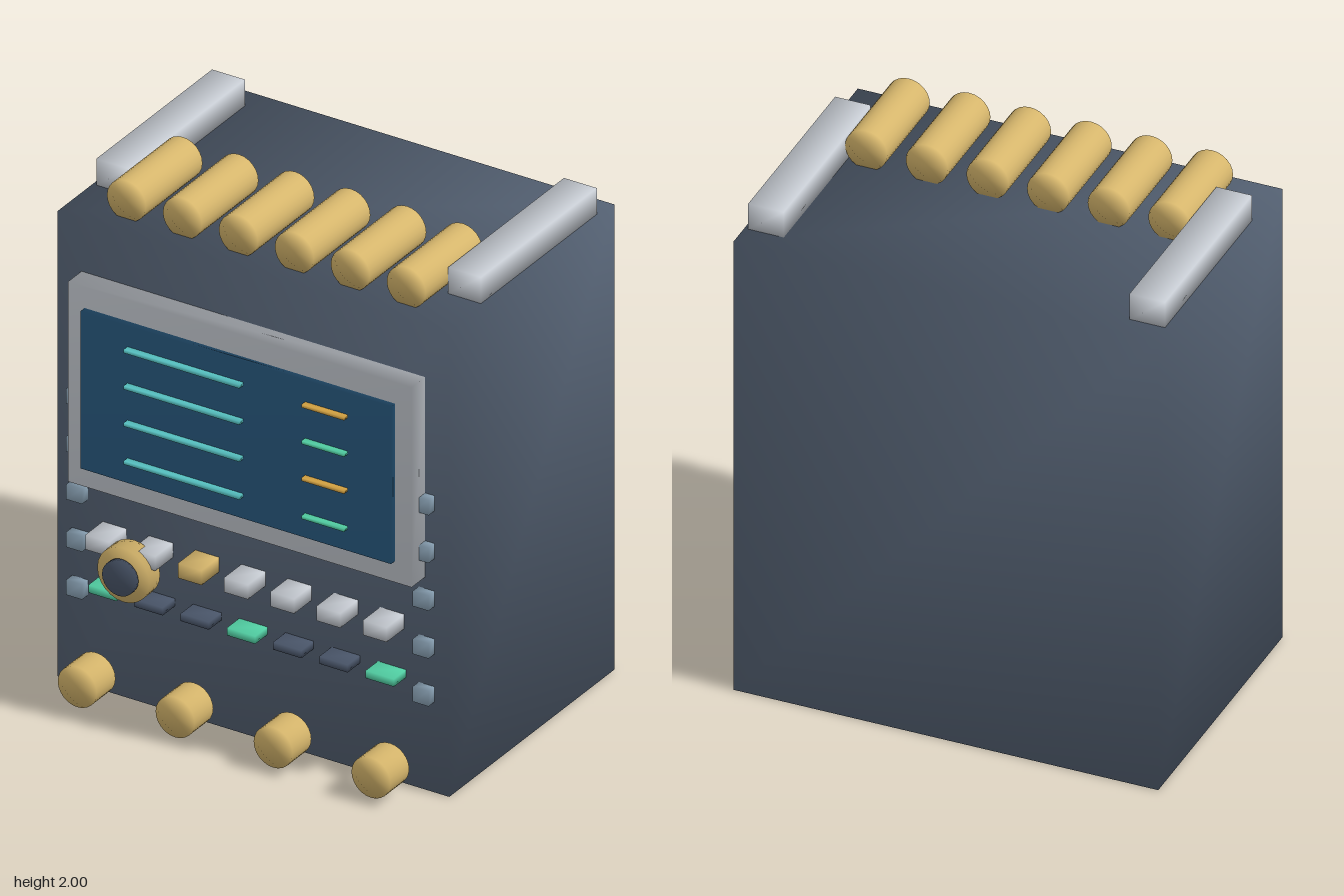
import * as THREE from 'three';
import { mergeVertices } from 'three/addons/utils/BufferGeometryUtils.js';

const mat = (name, color) => {
  const m = new THREE.MeshStandardMaterial({ color });
  m.name = name;
  return m;
};

// Weld corners so normals run smoothly round every edge
function soften(geometry) {
  geometry.deleteAttribute('normal');
  geometry.deleteAttribute('uv');
  geometry.clearGroups();
  const welded = mergeVertices(geometry, 1e-4);
  welded.computeVertexNormals();
  return welded;
}

export function createModel() {
  const model = new THREE.Group();
  model.name = 'monitorUnit';

  const slate = mat('slate casing', 0x556274);
  const darkKey = mat('dark key', 0x4a566a);
  const silver = mat('silver', 0xc6cbd2);
  const gold = mat('brass', 0xd6b66c);
  const glass = mat('blue screen', 0x2a5d84);
  const teal = mat('teal trace', 0x58c4c4);
  const green = mat('green light', 0x52d0a4);
  const amber = mat('amber readout', 0xd6a443);
  const steel = mat('steel blue', 0x8ba3b6);

  function add(name, geometry, material, x, y, z) {
    const mesh = new THREE.Mesh(geometry, material);
    mesh.name = name;
    mesh.position.set(x, y, z);
    model.add(mesh);
  }

  // Box centred at (x, y), running from z0 to z1
  function box(name, material, x, y, w, h, z0, z1) {
    add(name, soften(new THREE.BoxGeometry(w, h, z1 - z0)), material, x, y, (z0 + z1) / 2);
  }

  // Cylinder lying along z, from z0 to z1
  function disc(name, material, x, y, r, z0, z1) {
    const g = new THREE.CylinderGeometry(r, r, z1 - z0, 24).rotateX(Math.PI / 2);
    add(name, soften(g), material, x, y, (z0 + z1) / 2);
  }

  const FRONT = 0.442;

  // Casing
  box('casing', slate, 0, 0.925, 1.61, 1.85, -0.632, FRONT);

  // Top rails and the rollers between them
  for (const s of [-1, 1]) {
    box('topRail', silver, s * 0.723, 1.902, 0.135, 0.105, -0.54, 0.213);
  }
  for (let i = 0; i < 6; i++) {
    disc('topRoller', gold, (i - 2.5) * 0.23, 1.92, 0.08, -0.01, 0.358);
  }

  // Display
  box('bezel', silver, 0, 1.243, 1.412, 0.795, FRONT, 0.53);
  box('screen', glass, 0, 1.243, 1.276, 0.626, 0.53, 0.556);
  [1.465, 1.32, 1.173, 1.022].forEach((y, i) => {
    box('trace', teal, -0.208, y, 0.475, 0.014, 0.556, 0.58);
    box('readout', i % 2 ? green : amber, 0.372, y, 0.175, 0.012, 0.556, 0.58);
  });

  // Side buttons
  for (const s of [-1, 1]) {
    for (let i = 0; i < 5; i++) {
      box('sideButton', steel, s * 0.712, 0.39 + i * 0.19, 0.065, 0.06, FRONT, 0.481);
    }
  }

  // Two rows of keys
  for (let i = 0; i < 7; i++) {
    const x = (i - 3) * 0.19;
    box('upperKey', i === 2 ? gold : silver, x, 0.642, 0.098, 0.058, FRONT, 0.555);
    box('lowerKey', i % 3 ? darkKey : green, x, 0.438, 0.116, 0.03, FRONT, 0.522);
  }

  // Rotary knob
  disc('knob', gold, -0.446, 0.575, 0.107, 0.512, 0.582);
  disc('knobCap', darkKey, -0.446, 0.575, 0.068, 0.591, 0.613);

  // Sockets along the lower front
  for (const x of [-0.605, -0.203, 0.2, 0.602]) {
    disc('socket', gold, x, 0.105, 0.08, 0.508, 0.63);
  }

  return model;
}
